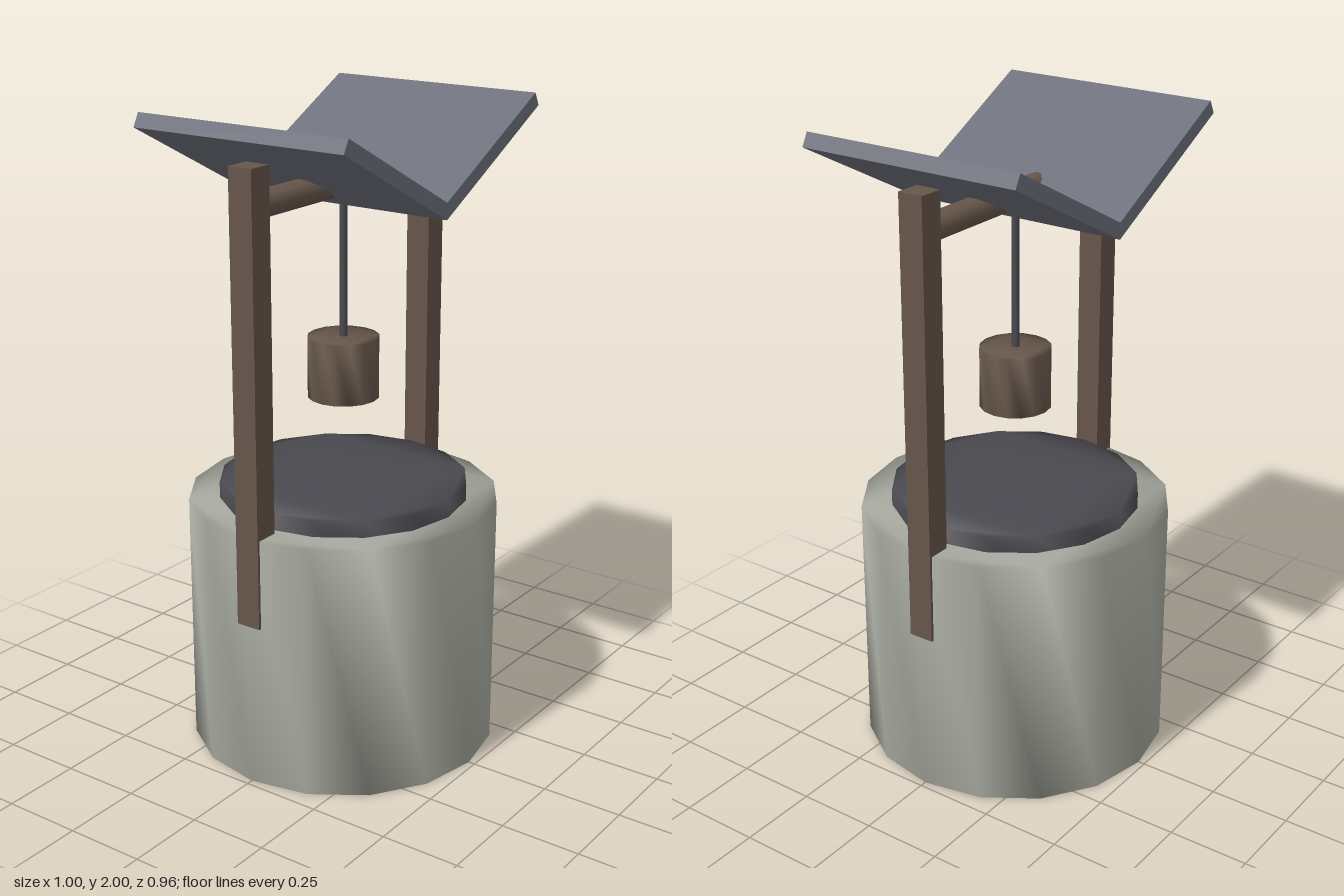
import * as THREE from 'three';
import { mergeVertices } from 'three/addons/utils/BufferGeometryUtils.js';

const paint = (color) => new THREE.MeshStandardMaterial({ color });
const stone = paint(0xa4a79d);
const wood = paint(0x66564a);
const slate = paint(0x6e717c);
const dark = paint(0x4a494f);

// Upright prism from y0 to y1 whose normals blend across the rims
function softCylinder(radius, y0, y1, sides = 16) {
  const ring = Array.from({ length: sides }, (_, i) => {
    const a = (i / sides) * Math.PI * 2;
    return new THREE.Vector2(Math.cos(a) * radius, Math.sin(a) * radius);
  });
  let geo = new THREE.ExtrudeGeometry(new THREE.Shape(ring), { depth: y1 - y0, bevelEnabled: false });
  geo.rotateX(-Math.PI / 2).translate(0, y0, 0);
  geo.deleteAttribute('normal');
  geo.deleteAttribute('uv');
  geo = mergeVertices(geo);
  geo.computeVertexNormals();
  return geo;
}

export function createModel() {
  const well = new THREE.Group();
  well.name = 'well';

  const add = (name, geometry, material) => {
    const mesh = new THREE.Mesh(geometry, material);
    mesh.name = name;
    well.add(mesh);
    return mesh;
  };

  // Stone base with the dark shaft mouth standing slightly proud
  add('stoneBase', softCylinder(0.48, 0, 0.8), stone);
  add('shaftMouth', softCylinder(0.385, 0.7, 0.85), dark);

  // Side posts let into the stone
  for (const [name, side] of [['leftPost', 1], ['rightPost', -1]]) {
    add(name, new THREE.BoxGeometry(0.08, 1.365, 0.08), wood).position.set(side * 0.441, 1.2025, 0);
  }

  // Winding beam between the posts
  const beam = add('beam', softCylinder(0.04, -0.478, 0.478), wood);
  beam.rotation.z = Math.PI / 2;
  beam.position.y = 1.77;

  // Rope and bucket
  add('rope', softCylinder(0.012, 1.25, 1.77, 8), dark);
  add('bucket', softCylinder(0.11, 1.11, 1.3), wood);

  // Two roof boards meeting in a valley
  const valley = [[0, 1.7], [0.5, 1.96], [0.479, 2], [0, 1.75], [-0.479, 2], [-0.5, 1.96]];
  const profile = new THREE.Shape(valley.map(([x, y]) => new THREE.Vector2(x, y)));
  const roof = new THREE.ExtrudeGeometry(profile, { depth: 0.72, bevelEnabled: false });
  add('roof', roof.translate(0, 0, -0.36), slate);

  return well;
}
